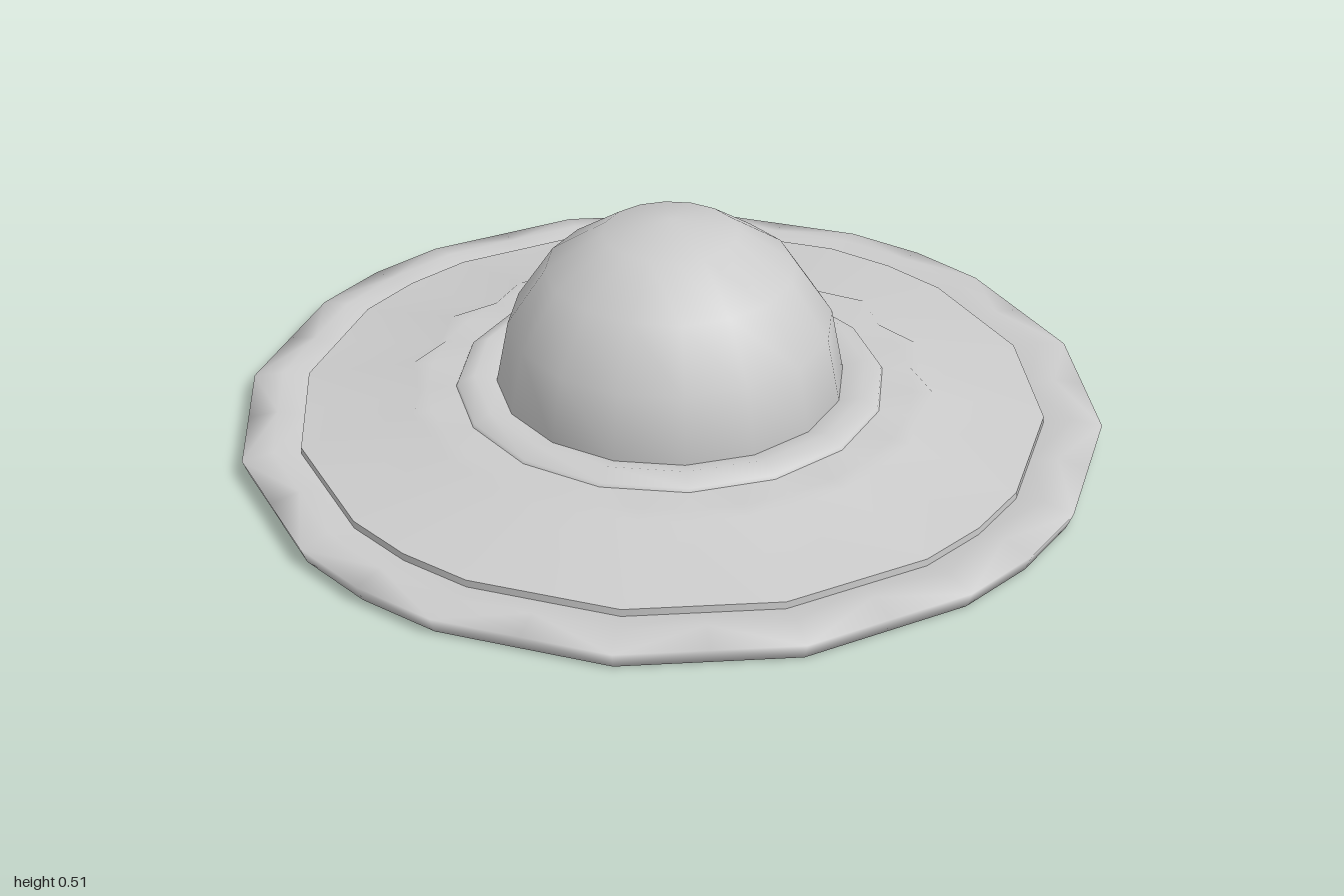
import * as THREE from 'three';

const material = new THREE.MeshStandardMaterial({ color: 0xcccccc });
const SIDES = 32;
const STEP = (Math.PI * 2) / SIDES;

// Outline of the rim: a 16-gon with extra corners at the four axis directions
const outline = (i) => (i % 2 === 1 || i % 8 === 0 ? 1 : Math.cos(STEP));

// Skins a stack of closed loops; each loop gives [radius, height] at corner i.
// Loops run from the underside centre outwards, up and back in.
function skin(loops) {
  const positions = [];
  const index = [];
  for (const loop of loops) {
    for (let i = 0; i < SIDES; i++) {
      const [r, y] = loop(i);
      positions.push(r * Math.sin(i * STEP), y, r * Math.cos(i * STEP));
    }
  }
  for (let k = 0; k < loops.length - 1; k++) {
    for (let i = 0; i < SIDES; i++) {
      const j = (i + 1) % SIDES;
      const a = k * SIDES + i;
      const b = k * SIDES + j;
      const c = a + SIDES;
      const d = b + SIDES;
      // Alternate the diagonal so folds stay symmetrical
      if (i % 2) index.push(a, b, d, a, d, c);
      else index.push(a, b, c, b, d, c);
    }
  }
  const geometry = new THREE.BufferGeometry();
  geometry.setAttribute('position', new THREE.Float32BufferAttribute(positions, 3));
  geometry.setIndex(index);
  geometry.computeVertexNormals();
  return geometry;
}

const rimLoop = (r, y) => (i) => [r * outline(i), y];

export function createModel() {
  const group = new THREE.Group();
  const add = (name, geometry, y = 0) => {
    const mesh = new THREE.Mesh(geometry, material);
    mesh.name = name;
    mesh.position.y = y;
    group.add(mesh);
  };

  // Flat base and rounded outer rim
  add('baseAndRim', skin([
    rimLoop(0, 0),
    rimLoop(0.88, 0),
    rimLoop(0.985, 0.003),
    rimLoop(1, 0.042),
    rimLoop(0.93, 0.054),
    rimLoop(0.866, 0.04),
  ]));

  // Short step between rim and disc
  add('discEdge', skin([rimLoop(0.866, 0.036), rimLoop(0.866, 0.057)]));

  // Disc: sunken wedge panels between raised rays, rising to a level platform
  add('rayedDisc', skin([
    rimLoop(0.866, 0.057),
    (i) => (i % 2 ? [0.61, 0.103] : [0.585, 0.087]),
    () => [0.565, 0.104],
    () => [0.4, 0.104],
  ]));

  // Rounded collar around the dome
  const collar = [[0.5, 0.1], [0.495, 0.112], [0.455, 0.13], [0.4, 0.113]];
  add('collar', new THREE.LatheGeometry(collar.map(([r, y]) => new THREE.Vector2(r, y)), 16));

  // Dome
  add('dome', new THREE.SphereGeometry(0.405, 16, 4, 0, Math.PI * 2, 0, Math.PI / 2), 0.11);

  return group;
}
